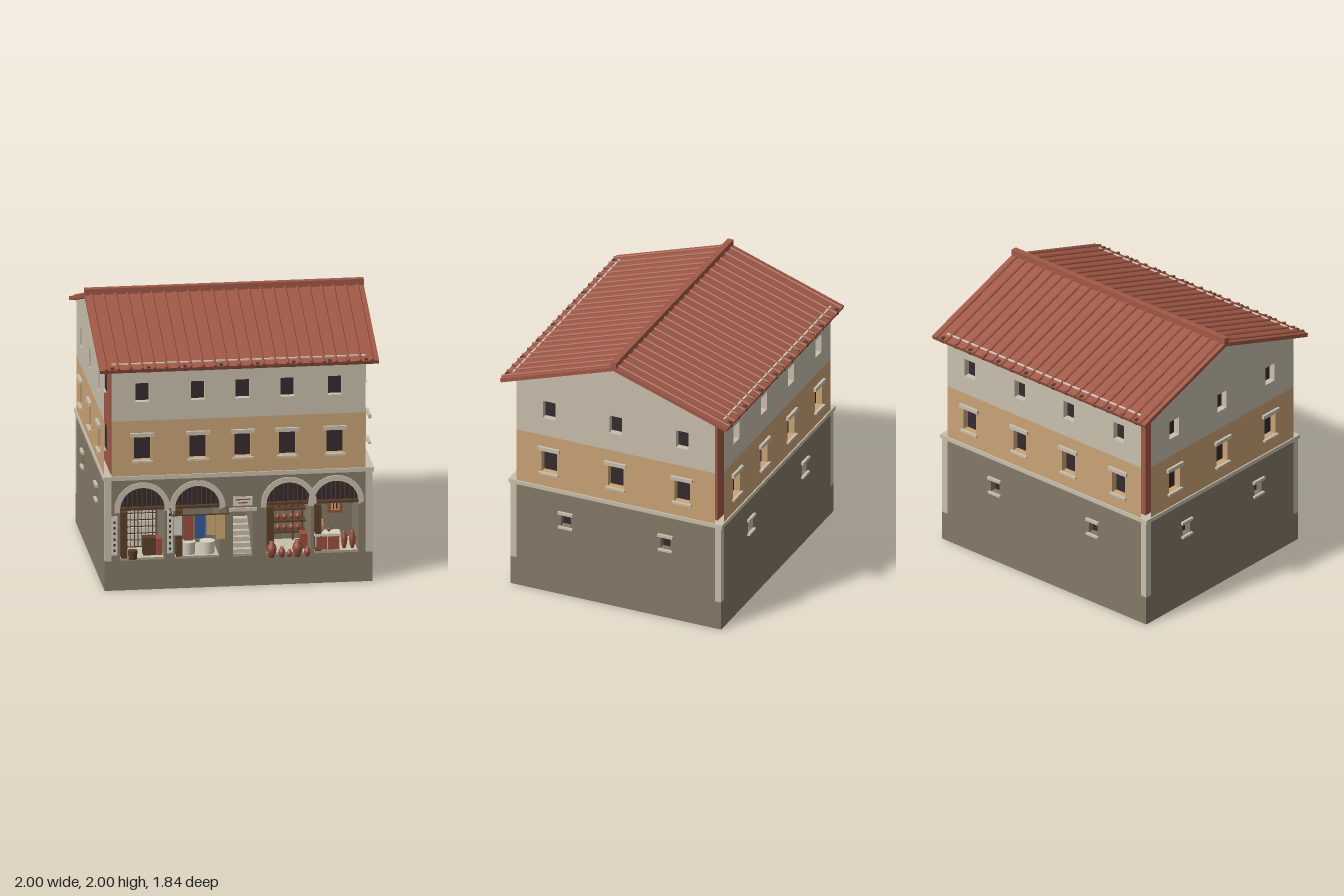
import * as THREE from 'three';

const mat = (name, color) => Object.assign(new THREE.MeshStandardMaterial({ color }), { name });
const stone = mat('stone', 0xc9bfad), ochre = mat('ochre', 0xcaa477), taupe = mat('taupe', 0x857967);
const dark = mat('dark', 0x362b2e), tile = mat('roofTile', 0xa05846), brown = mat('wood', 0x5a3f29);
const white = mat('plaster', 0xd6d0c2), clay = mat('clay', 0x9a4f3d), blue = mat('blueCloth', 0x34589a);
const tan = mat('tanCloth', 0xcba873);
const CZ = -0.025; // middle of the house in z

function add(parent, name, geo, material, x = 0, y = 0, z = 0) {
  const m = new THREE.Mesh(geo, material);
  m.name = name;
  m.position.set(x, y, z);
  parent.add(m);
  return m;
}
// box given by its limits
function box(parent, name, material, x0, x1, y0, y1, z0, z1) {
  return add(parent, name, new THREE.BoxGeometry(x1 - x0, y1 - y0, z1 - z0), material,
    (x0 + x1) / 2, (y0 + y1) / 2, (z0 + z1) / 2);
}
function group(parent, name) {
  const g = new THREE.Group();
  g.name = name;
  parent.add(g);
  return g;
}
// inward-facing box open to +z; its front edge lies at z
function recess(parent, name, side, floor, back, x, y0, y1, w, z, d) {
  const geo = new THREE.BoxGeometry(w, y1 - y0, d).scale(1, 1, -1);
  geo.setIndex(Array.from(geo.index.array).slice(0, 30));
  geo.groups.pop();
  geo.computeVertexNormals();
  return add(parent, name, geo, [side, side, side, floor, back], x, (y0 + y1) / 2, z - d / 2);
}
function rectPath(T, x0, x1, y0, y1) {
  const p = new T();
  p.moveTo(x0, y0); p.lineTo(x1, y0); p.lineTo(x1, y1); p.lineTo(x0, y1); p.closePath();
  return p;
}
// one storey of a face, with window openings, reveals, lintels and sills
function storey(face, name, material, width, y0, y1, xs, w, b, t, trim) {
  const shape = rectPath(THREE.Shape, -width / 2, width / 2, y0, y1);
  xs.forEach(x => shape.holes.push(rectPath(THREE.Path, x - w / 2, x + w / 2, b, t)));
  add(face, name, new THREE.ShapeGeometry(shape), material);
  xs.forEach(x => {
    recess(face, 'window', material, material, dark, x, b, t, w, 0, 0.048);
    if (!trim) return;
    box(face, 'lintel', stone, x - w / 2 - trim, x + w / 2 + trim, t - 0.003, t + trim, 0, 0.02);
    box(face, 'sill', stone, x - w / 2 - 0.015, x + w / 2 + 0.015, b - 0.015, b, 0, 0.02);
  });
}
const jarProfile = [[0, 0], [0.4, 0], [0.75, 0.2], [1, 0.5], [0.85, 0.75], [0.42, 0.88], [0.55, 1], [0, 1]];
function jar(parent, x, y, z, r, h, material = clay) {
  const pts = jarProfile.map(p => new THREE.Vector2(p[0] * r, p[1] * h));
  add(parent, 'jar', new THREE.LatheGeometry(pts, 12), material, x, y, z);
}

export function createModel() {
  const root = new THREE.Group();
  root.name = 'townHouse';

  // base, corner piers, string course and inner core
  box(root, 'base', taupe, -0.96, 0.96, 0, 0.22, -0.85, 0.8);
  for (const x of [-0.96, 0.91]) for (const z of [-0.85, 0.75])
    box(root, 'cornerPier', stone, x, x + 0.05, 0.22, 0.82, z, z + 0.05);
  box(root, 'stringCourse', stone, -0.97, 0.97, 0.82, 0.85, -0.86, 0.81);
  box(root, 'core', tile, -0.91, 0.91, 0.85, 1.65, -0.8, 0.75);

  // four faces: [name, turn, x, z, width, window columns, lower windows]
  const side = [-0.52, 0, 0.52];
  const faces = [
    ['frontFace', 0, 0, 0.8, 1.82, [-0.69, -0.29, 0.03, 0.35, 0.69], null],
    ['backFace', Math.PI, 0, -0.85, 1.82, [-0.7, -0.23, 0.23, 0.7], [-0.46, 0.46]],
    ['leftFace', Math.PI / 2, 0.96, CZ, 1.55, side, [-0.39, 0.39]],
    ['rightFace', -Math.PI / 2, -0.96, CZ, 1.55, side, [-0.39, 0.39]],
  ];
  for (const [name, turn, x, z, width, cols, low] of faces) {
    const f = group(root, name);
    f.position.set(x, 0, z);
    f.rotation.y = turn;
    storey(f, 'upperWall', stone, width, 1.26, 1.655, cols, 0.1, 1.4, 1.54, 0);
    storey(f, 'middleWall', ochre, width, 0.85, 1.26, cols, 0.12, 0.965, 1.145, 0.025);
    if (low) storey(f, 'lowerWall', taupe, width, 0.22, 0.82, low, 0.08, 0.555, 0.655, 0.018);
  }

  // gable block under the roof
  const gable = new THREE.Shape([[-0.825, 1.65], [0.825, 1.65], [0.825, 1.655], [0, 1.93], [-0.825, 1.655]]
    .map(p => new THREE.Vector2(...p)));
  add(root, 'gable', new THREE.ExtrudeGeometry(gable, { depth: 1.92, bevelEnabled: false })
    .rotateY(Math.PI / 2), stone, -0.96, 0, CZ);

  // tiled roof slopes with ribs, wall plates and rafter ends
  const pitch = Math.atan(0.335), len = 0.89 / Math.cos(pitch);
  const ribGeo = new THREE.CylinderGeometry(0.011, 0.011, len, 8).rotateX(Math.PI / 2);
  for (const turn of [0, Math.PI]) {
    const half = group(root, 'roofHalf');
    half.position.z = CZ;
    half.rotation.y = turn;
    const slope = group(half, 'roofSlope');
    slope.position.y = 1.962;
    slope.rotation.x = pitch;
    box(slope, 'roofSlab', tile, -1, 1, -0.028, 0, 0, len);
    for (let i = 0; i < 23; i++) add(slope, 'tileRib', ribGeo, tile, -0.955 + i * 0.0868, 0.002, len / 2);
    box(half, 'wallPlate', white, -0.91, 0.91, 1.65, 1.692, 0.82, 0.832);
    for (let i = 0; i < 15; i++) {
      const x = -0.91 + i * 0.13;
      box(half, 'rafterEnd', brown, x - 0.012, x + 0.012, 1.638, 1.676, 0.84, 0.885);
    }
  }
  box(root, 'ridge', tile, -1, 1, 1.95, 2, CZ - 0.022, CZ + 0.022);

  // arcade wall with four arches and a stair door
  const arches = [-0.69, -0.295, 0.36, 0.7], R = 0.16;
  const wall = rectPath(THREE.Shape, -0.91, 0.91, 0.22, 0.82);
  for (const x of arches) {
    const hole = new THREE.Path();
    hole.moveTo(x - R, 0.221);
    hole.lineTo(x + R, 0.221);
    hole.lineTo(x + R, 0.6);
    hole.absarc(x, 0.6, R, 0, Math.PI, false);
    hole.closePath();
    wall.holes.push(hole);
  }
  wall.holes.push(rectPath(THREE.Path, -0.04, 0.1, 0.221, 0.56));
  add(root, 'arcadeWall', new THREE.ExtrudeGeometry(wall, { depth: 0.05, bevelEnabled: false, curveSegments: 20 }),
    taupe, 0, 0, 0.75);

  const ring = new THREE.Shape();
  ring.moveTo(0.2, -0.02);
  ring.absarc(0, 0, 0.2, 0, Math.PI, false);
  ring.lineTo(-0.2, -0.02);
  ring.lineTo(-R, -0.02);
  ring.absarc(0, 0, R, Math.PI, 0, true);
  ring.lineTo(R, -0.02);
  const ringGeo = new THREE.ExtrudeGeometry(ring, { depth: 0.012, bevelEnabled: false, curveSegments: 20 });
  arches.forEach((x, i) => {
    const shop = group(root, 'shop' + (i + 1));
    add(shop, 'archRing', ringGeo, stone, x, 0.6, 0.798 + (i % 2) * 0.001);
    add(shop, 'lunette', new THREE.CircleGeometry(R, 20, 0, Math.PI), dark, x, 0.6, 0.765);
    for (let k = -4; k <= 4; k++) {
      const bx = x + k * 0.034, h = Math.sqrt(R * R - (k * 0.034) ** 2);
      box(shop, 'grilleBar', brown, bx - 0.003, bx + 0.003, 0.6, 0.6 + h, 0.768, 0.776);
    }
    box(shop, 'transom', brown, x - R, x + R, 0.59, 0.61, 0.755, 0.795);
    recess(shop, 'shopRoom', taupe, stone, taupe, x, 0.222, 0.6, 2 * R, 0.75, 0.32);
    box(shop, 'doorLeaf', brown, x - R + 0.015, x - R + 0.06, 0.222, 0.565, 0.62, 0.75);
  });

  // stair door, lintel and striped panel
  const door = group(root, 'stairDoor');
  recess(door, 'stairwell', taupe, stone, taupe, 0.03, 0.222, 0.56, 0.14, 0.75, 0.32);
  for (let i = 0; i < 6; i++)
    box(door, 'step', stone, -0.04, 0.1, 0.222, 0.255 + i * 0.033, 0.68 - i * 0.04, 0.74 - i * 0.04);
  box(door, 'doorLintel', stone, -0.07, 0.13, 0.56, 0.585, 0.79, 0.815);
  box(door, 'panel', white, -0.04, 0.1, 0.6, 0.667, 0.795, 0.808);
  box(door, 'panelStripe', clay, -0.02, 0.08, 0.642, 0.65, 0.808, 0.81);
  box(door, 'panelStripe', clay, -0.005, 0.065, 0.618, 0.626, 0.808, 0.81);

  // spotted plaster strips beside the first shop
  for (const [x, top] of [[-0.89, 0.555], [-0.492, 0.585]]) {
    box(root, 'wallStrip', white, x - 0.021, x + 0.021, 0.265, top, 0.8, 0.805);
    for (let y = 0.29; y < top - 0.02; y += 0.042)
      box(root, 'stripSpot', dark, x - 0.007, x + 0.007, y, y + 0.018, 0.805, 0.807);
  }

  // first shop: rack of rolls, chest, bin and cushions
  const rack = group(root, 'rollRack');
  box(rack, 'rackBack', brown, -0.79, -0.55, 0.222, 0.535, 0.45, 0.5);
  for (let r = 0; r < 6; r++) for (let c = 0; c < 9; c++) {
    const x = -0.783 + c * 0.0258, y = 0.235 + r * 0.05;
    box(rack, 'roll', white, x, x + 0.019, y, y + 0.038, 0.5, 0.515);
  }
  box(rack, 'chest', brown, -0.67, -0.58, 0.222, 0.35, 0.62, 0.7);
  box(rack, 'cushions', clay, -0.575, -0.535, 0.222, 0.34, 0.6, 0.7);
  add(rack, 'bin', new THREE.CylinderGeometry(0.035, 0.03, 0.065, 12), brown, -0.755, 0.2545, 0.77);

  // second shop: vats, stand, and a drying rail hung with cloths
  const cloths = group(root, 'clothShop');
  for (const x of [-0.35, -0.21])
    add(cloths, 'vat', new THREE.CylinderGeometry(0.056, 0.052, 0.09, 16), white, x, 0.267, 0.68);
  box(cloths, 'bench', brown, -0.44, -0.4, 0.222, 0.34, 0.68, 0.76);
  box(cloths, 'rail', brown, -0.495, -0.083, 0.574, 0.582, 0.908, 0.916);
  for (const x of [-0.491, -0.087])
    box(cloths, 'railArm', brown, x - 0.004, x + 0.004, -0.004, 0.004, -0.056, 0.056)
      .position.set(x, 0.59, 0.857);
  cloths.children.filter(m => m.name === 'railArm').forEach(m => { m.rotation.x = 0.22; });
  [[-0.48, -0.42, 0.43, white], [-0.41, -0.34, 0.39, clay], [-0.325, -0.255, 0.405, blue],
    [-0.245, -0.18, 0.425, tan], [-0.175, -0.11, 0.39, tan]].forEach(([x0, x1, y, m]) =>
    box(cloths, 'cloth', m, x0, x1, y, 0.578, 0.91, 0.914));

  // third shop: shelves of pots, and large jars in front
  const pots = group(root, 'potShop');
  for (const x of [0.26, 0.43, 0.5]) box(pots, 'shelfPost', brown, x - 0.005, x + 0.005, 0.222, 0.59, 0.46, 0.47);
  for (const [row, y] of [0.31, 0.39, 0.48].entries()) {
    box(pots, 'shelf', brown, 0.25, 0.515, y - 0.012, y, 0.45, 0.54);
    for (let i = 0; i < 5; i++) jar(pots, 0.275 + i * 0.047, y, 0.5, 0.016 + ((i + row) % 2) * 0.004, 0.045);
  }
  box(pots, 'potStack', clay, 0.46, 0.51, 0.222, 0.33, 0.58, 0.68);
  [[0.23, 0.036, 0.12], [0.302, 0.026, 0.075], [0.358, 0.02, 0.055], [0.415, 0.038, 0.125], [0.485, 0.025, 0.07]]
    .forEach(([x, r, h]) => jar(pots, x, 0.222, 0.862, r, h));

  // fourth shop: counter, tall jars and framed picture
  const bar = group(root, 'counterShop');
  box(bar, 'counter', stone, 0.555, 0.735, 0.222, 0.345, 0.66, 0.75);
  box(bar, 'counterTop', white, 0.55, 0.74, 0.335, 0.35, 0.655, 0.757);
  for (const x of [0.564, 0.649]) box(bar, 'counterPanel', clay, x, x + 0.077, 0.232, 0.328, 0.75, 0.754);
  jar(bar, 0.612, 0.35, 0.69, 0.02, 0.09, tan);
  jar(bar, 0.66, 0.35, 0.7, 0.014, 0.035);
  for (const x of [0.77, 0.828]) jar(bar, x, 0.222, 0.7, 0.024, 0.13);
  box(bar, 'pictureFrame', clay, 0.685, 0.79, 0.405, 0.53, 0.431, 0.44);
  box(bar, 'picture', tan, 0.707, 0.768, 0.425, 0.51, 0.44, 0.443);
  for (const x of [0.722, 0.745]) box(bar, 'pictureFigure', dark, x, x + 0.008, 0.435, 0.5, 0.443, 0.445);

  return root;
}
